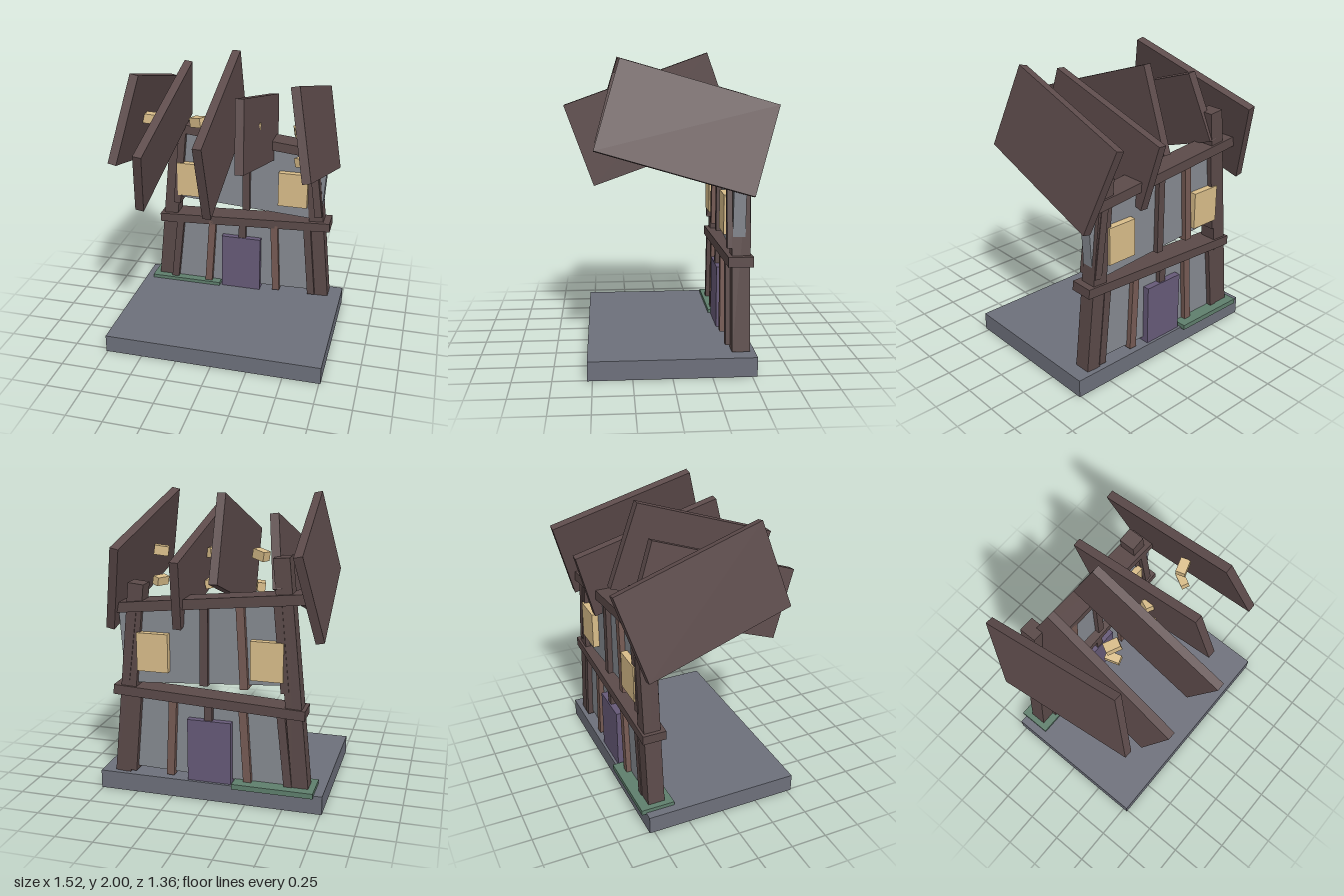
import * as THREE from 'three';

const mat = (color) => new THREE.MeshStandardMaterial({ color, flatShading: true });
const WALL_Z = -0.43;

export function createModel() {
  const model = new THREE.Group();
  const stone = mat(0x6d707b), plaster = mat(0x868a91), timber = mat(0x5b4a49);
  const paleTimber = mat(0x765b54), plank = mat(0x5d4b4b);
  const glow = mat(0xd9bd8a), doorPaint = mat(0x665a78), moss = mat(0x5f7f6d);

  function box(name, size, pos, material, rot = [0, 0, 0]) {
    const mesh = new THREE.Mesh(new THREE.BoxGeometry(...size), material);
    mesh.name = name;
    mesh.position.set(...pos);
    mesh.rotation.set(...rot);
    model.add(mesh);
    return mesh;
  }

  // Leaning member in the wall plane, from one (x, y) to another
  function member(name, [x0, y0], [x1, y1], width, depth, z, material) {
    const dx = x1 - x0, dy = y1 - y0;
    return box(name, [width, Math.hypot(dx, dy), depth], [(x0 + x1) / 2, (y0 + y1) / 2, z],
      material, [0, 0, -Math.atan2(dx, dy)]);
  }

  // Ground slab and moss patch
  box('base', [1.52, 0.125, 1.065], [0, 0.0625, 0], stone);
  box('mossPatch', [0.535, 0.035, 0.23], [-0.435, 0.133, -0.447], moss);

  // Crooked plaster panels
  box('lowerWall', [1.1, 0.54, 0.08], [0, 0.42, WALL_Z], plaster, [0, 0, 0.028]);
  box('upperWall', [1.1, 0.54, 0.08], [0.055, 1.06, WALL_Z], plaster, [0, 0, -0.066]);

  // Corner posts
  member('rightPost', [-0.612, 0.125], [-0.463, 1.64], 0.105, 0.115, -0.442, timber);
  member('leftPost', [0.612, 0.125], [0.485, 1.43], 0.105, 0.115, -0.442, timber);

  // Tilted cross beams
  member('middleBeam', [-0.633, 0.648], [0.655, 0.712], 0.065, 0.16, -0.435, timber);
  member('topBeam', [-0.635, 1.397], [0.625, 1.268], 0.067, 0.16, -0.435, timber);

  // Studs of both storeys
  const studs = [
    [[-0.53, 0.14], [-0.475, 0.64], timber],
    [[-0.26, 0.14], [-0.225, 0.66], paleTimber],
    [[0.005, 0.14], [0.005, 0.68], timber],
    [[0.27, 0.14], [0.245, 0.68], paleTimber],
    [[0.54, 0.14], [0.49, 0.69], timber],
    [[-0.5, 0.785], [-0.445, 1.37], timber],
    [[-0.235, 0.785], [-0.205, 1.34], paleTimber],
    [[0.033, 0.785], [0.03, 1.32], timber],
    [[0.57, 0.785], [0.51, 1.26], timber],
  ];
  for (const [from, to, material] of studs) member('stud', from, to, 0.053, 0.15, WALL_Z, material);

  // Door and lit windows, passing through the wall
  box('door', [0.295, 0.425, 0.165], [-0.003, 0.338, -0.432], doorPaint);
  for (const x of [-0.383, 0.378]) box('window', [0.213, 0.257, 0.168], [x, 0.983, -0.43], glow);

  // Roof planks standing on edge: height, centre, rotation
  const planks = [
    [0.59, [-0.627, 1.545, -0.1], [-0.28, 0.06, -0.2]],
    [0.472, [-0.433, 1.495, 0.063], [0.345, -0.043, -0.127]],
    [0.585, [-0.027, 1.55, 0.097], [0.345, 0, 0]],
    [0.47, [0.178, 1.513, -0.085], [-0.265, -0.022, 0.06]],
    [0.59, [0.575, 1.545, -0.1], [-0.28, -0.06, 0.2]],
  ];
  for (const [height, pos, rot] of planks) box('roofPlank', [0.057, height, 1.03], pos, plank, rot);

  // Floating glowing chips in two rows
  const upperChips = [[-0.56, 0.3, -0.15], [-0.22, -0.5, 0.18], [0.15, -0.4, -0.15], [0.485, 0.3, 0.15]];
  for (const [x, yaw, roll] of upperChips)
    box('glowChip', [0.1, 0.065, 0.065], [x, 1.57, -0.01], glow, [0, yaw, roll]);
  const lowerChips = [[-0.56, 0.2, -0.2], [-0.22, 0.3, 0.12], [0.14, 0.2, -0.2], [0.495, -0.5, 0.2]];
  for (const [x, yaw, roll] of lowerChips)
    box('glowChip', [0.055, 0.06, 0.1], [x, 1.36, -0.01], glow, [0, yaw, roll]);

  return model;
}
